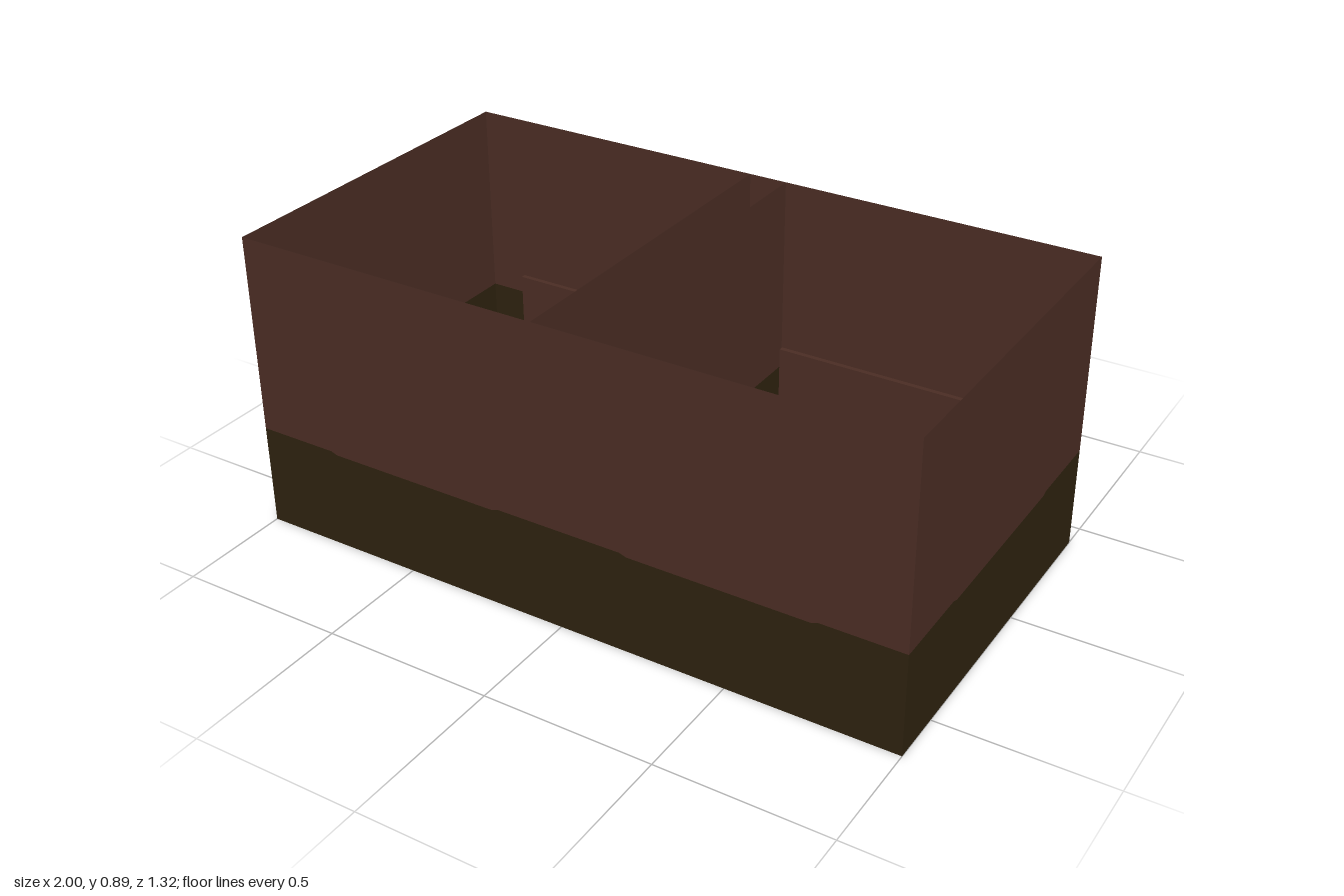
import * as THREE from 'three';

const mat = (name, color) => {
  const m = new THREE.MeshStandardMaterial({ color, side: THREE.DoubleSide });
  m.name = name;
  return m;
};

export function createModel() {
  const brown = mat('brown boards', 0x4b2d24);
  const olive = mat('dark olive base', 0x2e220f);
  const group = new THREE.Group();
  const H = 0.895, BACK = -0.42, FRONT = 0.66, GAP = 0.058;

  const add = (name, geometry, material, parent = group) => {
    const mesh = new THREE.Mesh(geometry, material);
    mesh.name = name;
    parent.add(mesh);
    return mesh;
  };
  const flat = (points) =>
    new THREE.ShapeGeometry(new THREE.Shape(points.map(([x, y]) => new THREE.Vector2(x, y))));

  // Thin wall: olive base below a slightly uneven paint line, brown above
  const wall = (name, line) => {
    const a = line[0][0], b = line[line.length - 1][0];
    const g = new THREE.Group();
    g.name = name;
    add(name + 'Base', flat([[a, 0], [b, 0], ...[...line].reverse()]), olive, g);
    add(name + 'Upper', flat([...line, [b, H], [a, H]]), brown, g);
    group.add(g);
    return g;
  };
  const HI = 0.304, LO = 0.297;
  const longLine = [[-1, HI], [-0.76, HI], [-0.74, LO], [-0.21, LO], [-0.19, HI],
    [0.19, HI], [0.21, LO], [0.74, LO], [0.76, HI], [1, HI]];
  const shortLine = [[BACK, HI], [-0.18, HI], [-0.16, LO], [0.39, LO], [0.41, HI], [FRONT, HI]];

  wall('frontWall', longLine).position.z = FRONT;
  wall('backWall', longLine).position.z = BACK;

  // End walls and the pair of room dividers run front to back
  for (const [name, x] of [['rightWall', -1], ['rightDivider', -GAP], ['leftDivider', GAP], ['leftWall', 1]]) {
    const w = wall(name, shortLine);
    w.rotation.y = -Math.PI / 2;
    w.position.x = x;
  }

  // Floor with a rounded hatch let into it (shape y becomes -z)
  const roundedRect = (path, x0, y0, x1, y1, r) => {
    path.moveTo(x0 + r, y0);
    path.lineTo(x1 - r, y0).quadraticCurveTo(x1, y0, x1, y0 + r);
    path.lineTo(x1, y1 - r).quadraticCurveTo(x1, y1, x1 - r, y1);
    path.lineTo(x0 + r, y1).quadraticCurveTo(x0, y1, x0, y1 - r);
    path.lineTo(x0, y0 + r).quadraticCurveTo(x0, y0, x0 + r, y0);
    return path;
  };
  const hatch = [0.207, -0.382, 0.73, 0.152, 0.04];
  const floor = new THREE.Shape([[-1, -FRONT], [1, -FRONT], [1, -BACK], [-1, -BACK]]
    .map(([x, y]) => new THREE.Vector2(x, y)));
  floor.holes.push(roundedRect(new THREE.Path(), ...hatch));
  add('floor', new THREE.ShapeGeometry(floor), olive).rotation.x = -Math.PI / 2;
  add('floorHatch', new THREE.ShapeGeometry(roundedRect(new THREE.Shape(), ...hatch)), brown)
    .rotation.x = -Math.PI / 2;

  // Two boxes through the back wall, with a brown sill strip below each
  for (const [side, s] of [['left', 1], ['right', -1]]) {
    add(side + 'BackBox', new THREE.BoxGeometry(0.82, 0.34, 0.255),
      [olive, olive, brown, olive, brown, brown]).position.set(s * 0.47, 0.195, -0.5325);
    const sill = add(side + 'Sill', new THREE.PlaneGeometry(0.82, 0.022), brown);
    sill.position.set(s * 0.47, 0.013, BACK - 0.002);
    sill.rotation.y = Math.PI;
  }
  return group;
}
